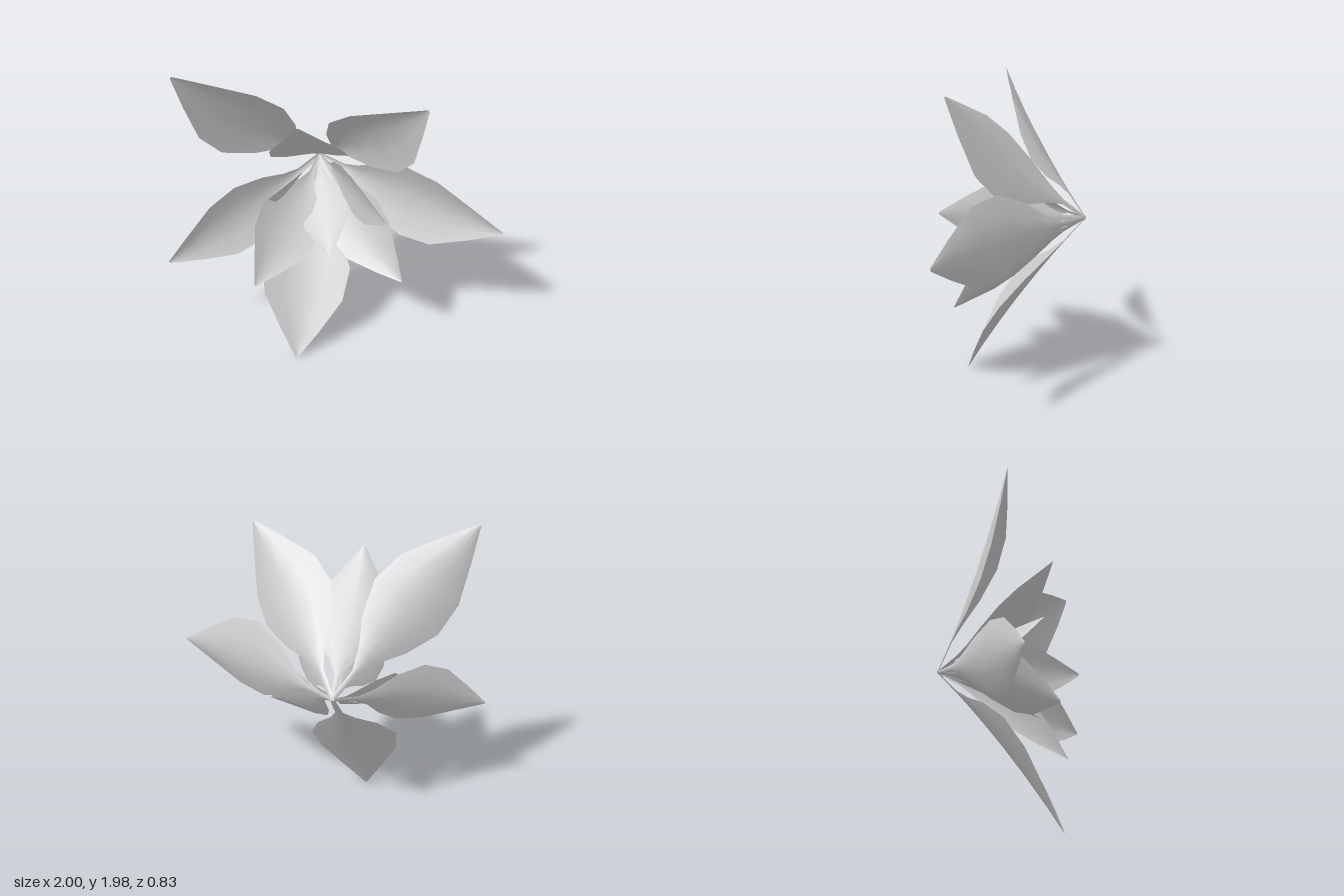
import * as THREE from 'three';

// Shared petal outline: position along the petal, share of the half width
const OUTLINE = [
  [0, 0.05], [0.16, 0.08], [0.25, 0.28], [0.37, 0.68],
  [0.53, 1], [0.69, 0.91], [0.86, 0.45], [1, 0.03],
];
const BASE = new THREE.Vector3(-0.13, 1.1, -0.42);

// tip position, half width, bow of the midline and curl of the edges toward the flower axis
const PETALS = {
  outerPetal: { bow: 0.03, curl: 0.3, list: [
    [-0.865, 1.98, 0.21, 0.25],
    [0.51, 1.89, 0.31, 0.26],
    [1.0, 1.06, 0.28, 0.26],
    [-1.0, 0.76, 0.33, 0.215],
    [-0.23, 0.0, 0.37, 0.28],
  ] },
  middlePetal: { bow: 0.03, curl: 0.25, list: [
    [-0.18, 1.77, 0.34, 0.23],
    [-0.46, 0.67, 0.41, 0.215],
    [0.43, 0.66, 0.3, 0.22],
  ] },
  innerPetal: { bow: 0, curl: 0.2, list: [
    [0.32, 1.2, 0.41, 0.19],
    [-0.02, 0.76, 0.22, 0.16],
    [-0.36, 1.27, 0.31, 0.165],
  ] },
};

// Bends a grid into a cupped leaf shape running from the base to the tip
function petalGeometry(tip, halfWidth, bow, curl) {
  const columns = 4;
  const geometry = new THREE.PlaneGeometry(1, 1, columns, OUTLINE.length - 1);
  const chord = tip.clone().sub(BASE);
  const side = new THREE.Vector3(chord.y, -chord.x, 0).normalize();
  const inward = side.clone().cross(chord).normalize();
  if (inward.z < 0) inward.negate();
  const position = geometry.attributes.position;
  const p = new THREE.Vector3();
  for (let i = 0; i < position.count; i++) {
    const [t, w] = OUTLINE[Math.floor(i / (columns + 1))];
    const u = ((i % (columns + 1)) / columns) * 2 - 1;
    const lift = bow * 4 * t * (1 - t) + curl * halfWidth * w * u * u;
    p.copy(BASE).addScaledVector(chord, t)
      .addScaledVector(side, u * w * halfWidth)
      .addScaledVector(inward, lift);
    position.setXYZ(i, p.x, p.y, p.z);
  }
  geometry.computeVertexNormals();
  return geometry;
}

export function createModel() {
  const flower = new THREE.Group();
  flower.name = 'flower';
  const petalGrey = new THREE.MeshStandardMaterial({ color: 0xcccccc, side: THREE.DoubleSide });
  petalGrey.name = 'petalGrey';

  // Three whorls of petals meeting at one point
  for (const [name, { bow, curl, list }] of Object.entries(PETALS)) {
    const whorl = new THREE.Group();
    whorl.name = name + 's';
    list.forEach(([x, y, z, halfWidth], i) => {
      const tip = new THREE.Vector3(x, y, z);
      const petal = new THREE.Mesh(petalGeometry(tip, halfWidth, bow, curl), petalGrey);
      petal.name = name + (i + 1);
      whorl.add(petal);
    });
    flower.add(whorl);
  }
  return flower;
}
